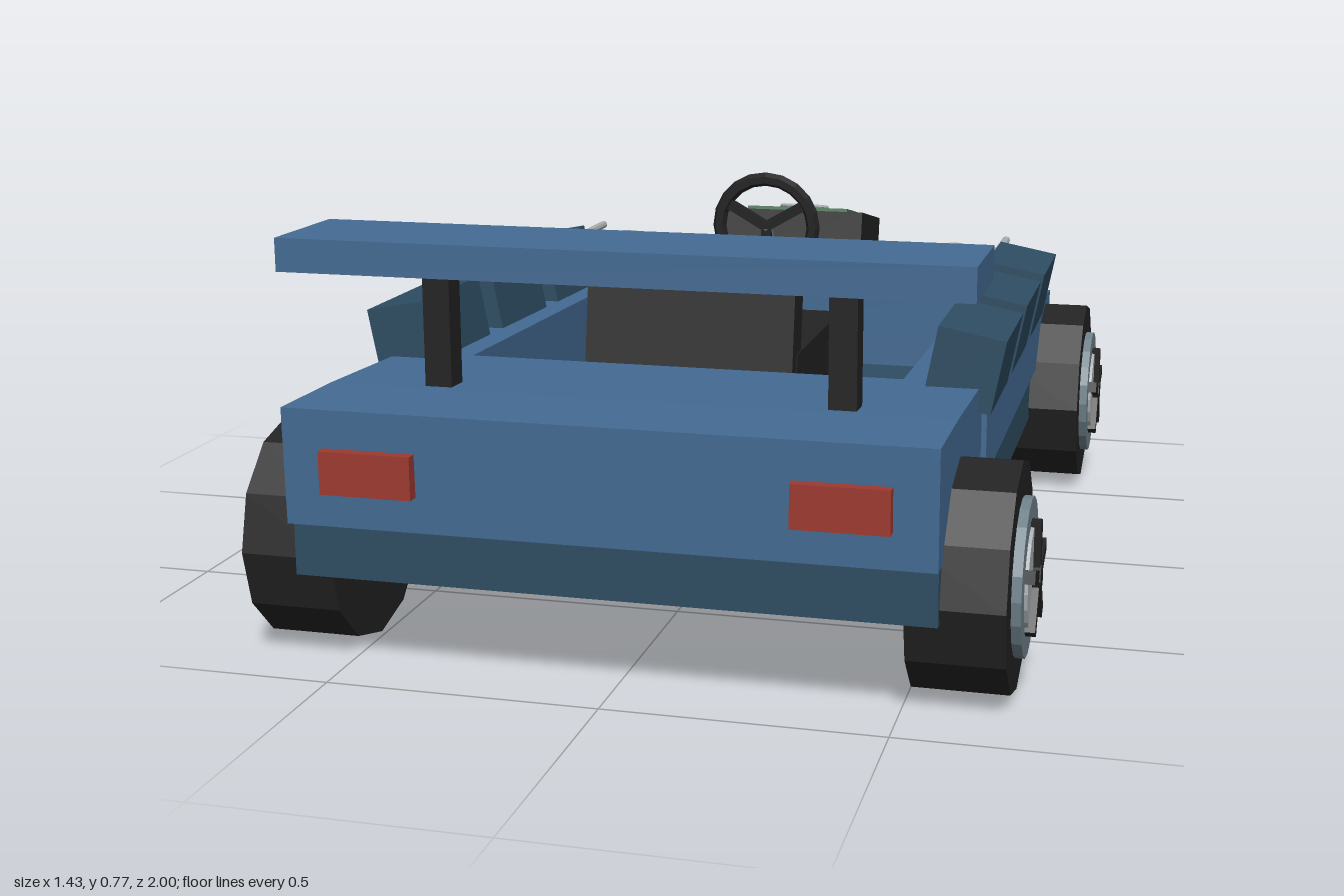
import * as THREE from 'three';

const mat = (name, color, extra = {}) => {
  const m = new THREE.MeshStandardMaterial({ color, flatShading: true, ...extra });
  m.name = name;
  return m;
};

export function createModel() {
  const blue = mat('bodyBlue', 0x446b94);
  const navy = mat('darkBlue', 0x2e4d63);
  const black = mat('black', 0x232323);
  const slate = mat('slateGrey', 0x70828b);
  const silver = mat('silver', 0xaab0b3);
  const red = mat('red', 0x9e3a30);
  const green = mat('green', 0x437350);
  const teal = mat('tealGlass', 0x41757a);

  const car = new THREE.Group();
  car.name = 'car';

  const add = (name, geo, m, x = 0, y = 0, z = 0, parent = car) => {
    const mesh = new THREE.Mesh(geo, m);
    mesh.name = name;
    mesh.position.set(x, y, z);
    parent.add(mesh);
    return mesh;
  };
  // Box from its minimum and maximum extents
  const box = (name, m, x0, x1, y0, y1, z0, z1, parent = car) =>
    add(name, new THREE.BoxGeometry(x1 - x0, y1 - y0, z1 - z0), m,
      (x0 + x1) / 2, (y0 + y1) / 2, (z0 + z1) / 2, parent);
  // Side outline given as (z, y) points, extruded from x0 to x1
  const profile = (name, m, pts, x0, x1) => {
    const shape = new THREE.Shape(pts.map(([z, y]) => new THREE.Vector2(z, y)));
    const geo = new THREE.ExtrudeGeometry(shape, { depth: x1 - x0, bevelEnabled: false });
    geo.rotateY(-Math.PI / 2);
    return add(name, geo, m, x1);
  };
  // Round bar between two points
  const rod = (name, m, a, b, r, sides = 8) => {
    const p = new THREE.Vector3(...a), q = new THREE.Vector3(...b);
    const d = q.clone().sub(p);
    const mesh = add(name, new THREE.CylinderGeometry(r, r, d.length(), sides), m);
    mesh.position.copy(p).add(q).multiplyScalar(0.5);
    mesh.quaternion.setFromUnitVectors(new THREE.Vector3(0, 1, 0), d.normalize());
    return mesh;
  };

  // Body
  box('lowerTub', navy, -0.57, 0.57, 0.18, 0.3, -0.88, 0.955);
  profile('rearDeck', blue,
    [[0.975, 0.28], [0.98, 0.49], [0.78, 0.488], [0.45, 0.475], [0.45, 0.29]], -0.572, 0.572);
  for (const s of [-1, 1]) {
    profile('sideRail', blue,
      [[0.45, 0.475], [-0.47, 0.452], [-0.78, 0.425], [-0.78, 0.295], [0.45, 0.295]],
      s > 0 ? 0.425 : -0.582, s > 0 ? 0.582 : -0.425);
  }
  profile('hood', blue,
    [[-0.42, 0.455], [-0.73, 0.438], [-0.94, 0.38], [-0.96, 0.3], [-0.975, 0.21],
      [-0.87, 0.21], [-0.42, 0.29]], -0.475, 0.475);
  box('hoodStripe', silver, -0.06, 0.06, 0.45, 0.464, -0.895, -0.47);
  box('dashboard', blue, -0.43, 0.43, 0.39, 0.462, -0.425, -0.37);
  const screen = box('windscreen', teal, -0.43, 0.43, 0.44, 0.525, -0.47, -0.448);
  screen.rotation.x = 0.12;

  // Bumper and lights
  box('frontBumper', slate, -0.595, 0.595, 0.22, 0.3, -0.992, -0.925);
  for (const s of [-1, 1]) {
    add('headlight', new THREE.BoxGeometry(0.16, 0.1, 0.022), silver, s * 0.4, 0.3, -0.989);
    add('tailLight', new THREE.BoxGeometry(0.167, 0.077, 0.03), red, s * 0.413, 0.383, 0.985);
  }

  // Rear wing
  box('rearWing', blue, -0.612, 0.612, 0.71, 0.77, 0.67, 0.893);
  for (const s of [-1, 1])
    add('wingPost', new THREE.BoxGeometry(0.05, 0.24, 0.052), black, s * 0.37, 0.6, 0.735);

  // Tilted side pods with their rail and levers
  for (const s of [-1, 1]) {
    for (const z of [0.368, 0.022, -0.328]) {
      const pod = add('sidePod', new THREE.BoxGeometry(0.127, 0.14, 0.273), navy, s * 0.545, 0.51, z);
      pod.rotation.z = -s * 0.19;
    }
    rod('sideRod', silver, [s * 0.492, 0.572, -0.605], [s * 0.492, 0.572, 0.12], 0.009);
    for (const z of [-0.48, -0.27, -0.062]) {
      rod('lever', silver, [s * 0.5, 0.567, z], [s * 0.35, 0.567, z], 0.008);
      add('leverKnob', new THREE.CylinderGeometry(0.024, 0.024, 0.022, 8), silver, s * 0.39, 0.567, z);
      add('leverTip', new THREE.BoxGeometry(0.025, 0.018, 0.022), silver, s * 0.36, 0.567, z);
    }
  }

  // Seat
  box('seatCushion', black, -0.208, 0.208, 0.33, 0.495, -0.055, 0.38);
  const back = new THREE.Group();
  back.name = 'seatBack';
  back.position.set(0, 0.56, 0.365);
  back.rotation.x = -0.16;
  car.add(back);
  box('backrest', black, -0.206, 0.206, -0.13, 0.135, -0.036, 0.036, back);
  box('backrestPad', navy, -0.16, 0.16, -0.065, 0.11, -0.05, -0.034, back);

  // Steering wheel
  const steering = new THREE.Group();
  steering.name = 'steeringWheel';
  steering.position.set(0, 0.64, -0.248);
  steering.rotation.x = 0.05;
  car.add(steering);
  add('wheelRim', new THREE.TorusGeometry(0.106, 0.015, 6, 20), black, 0, 0, 0, steering);
  for (let i = 0; i < 3; i++) {
    const spoke = new THREE.BoxGeometry(0.022, 0.1, 0.014).translate(0, 0.05, 0);
    add('wheelSpoke', spoke, black, 0, 0, 0, steering).rotation.z = Math.PI / 3 + i * Math.PI * 2 / 3;
  }
  rod('steeringColumn', slate, [0, 0.64, -0.25], [0, 0.44, -0.39], 0.013);

  // Instrument box on the hood
  const pack = new THREE.Group();
  pack.name = 'hoodBox';
  pack.position.set(0, 0.557, -0.642);
  pack.rotation.x = -0.2;
  car.add(pack);
  box('hoodCase', black, -0.163, 0.163, -0.055, 0.055, -0.12, 0.12, pack);
  box('greenPanel', green, -0.12, 0.12, 0.055, 0.064, -0.088, 0.088, pack);
  add('panelRing', new THREE.TorusGeometry(0.054, 0.006, 6, 20).rotateX(Math.PI / 2),
    silver, 0, 0.069, 0, pack);

  // Road wheels
  const disc = (r, w, sides) => new THREE.CylinderGeometry(r, r, w, sides).rotateZ(-Math.PI / 2);
  for (const s of [-1, 1]) for (const z of [0.738, -0.667]) {
    const wheel = new THREE.Group();
    wheel.name = 'wheel';
    wheel.position.set(s * 0.595, 0.207, z);
    wheel.rotation.y = s > 0 ? 0 : Math.PI;
    car.add(wheel);
    add('tyre', disc(0.206, 0.17, 12), black, 0, 0, 0, wheel);
    add('rim', disc(0.14, 0.03, 20), slate, 0.087, 0, 0, wheel);
    add('hubFace', disc(0.095, 0.02, 20), silver, 0.098, 0, 0, wheel);
    add('hubCap', disc(0.026, 0.03, 10), black, 0.107, 0, 0, wheel);
    for (let i = 0; i < 5; i++) {
      const spoke = new THREE.BoxGeometry(0.022, 0.1, 0.024).translate(0, 0.052, 0);
      add('spoke', spoke, black, 0.109, 0, 0, wheel).rotation.x = i * Math.PI * 2 / 5;
    }
  }
  return car;
}
